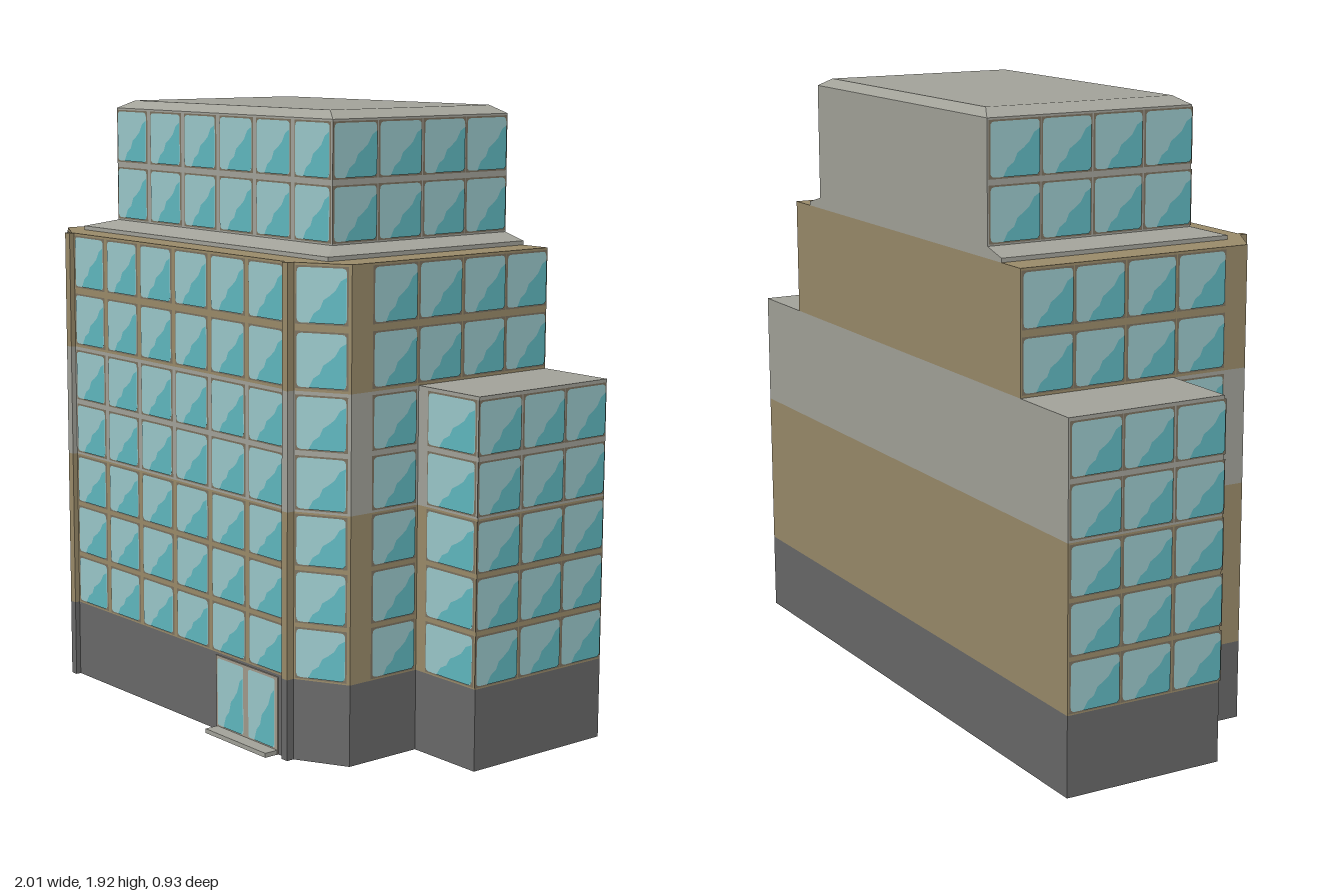
import * as THREE from 'three';
import { mergeGeometries } from 'three/addons/utils/BufferGeometryUtils.js';

const mat = (name, color) => {
  const m = new THREE.MeshStandardMaterial({ color });
  m.name = name;
  return m;
};

export function createModel() {
  const tan = mat('tan stone', 0x9a8b6a);
  const grey = mat('grey concrete', 0xa3a39a);
  const dark = mat('dark plinth', 0x696969);
  const glass = mat('pale glass', 0x9ac8cb);
  const teal = mat('teal reflection', 0x60b8c0);
  const trim = mat('window trim', 0x7c7260);
  const doorTrim = mat('door frame', 0xa29a8c);

  const building = new THREE.Group();
  building.name = 'building';
  const add = (geometry, material, name) => {
    const mesh = new THREE.Mesh(geometry, material);
    mesh.name = name;
    building.add(mesh);
  };

  const BACK = -0.465, FRONT = 0.415;

  // Prism standing on a plan outline given as [x, z] points
  const slab = (plan, y0, y1, material, name) => {
    const shape = new THREE.Shape(plan.map(([x, z]) => new THREE.Vector2(x, -z)));
    const g = new THREE.ExtrudeGeometry(shape, { depth: y1 - y0, bevelEnabled: false });
    add(g.rotateX(-Math.PI / 2).translate(0, y0, 0), material, name);
  };
  const box = (x0, x1, y0, y1, z0, z1, material, name) => add(
    new THREE.BoxGeometry(x1 - x0, y1 - y0, z1 - z0)
      .translate((x0 + x1) / 2, (y0 + y1) / 2, (z0 + z1) / 2), material, name);

  // Box whose top is drawn in to a smaller rectangle
  const taper = (bottom, top, y0, y1, material, name) => {
    const g = new THREE.BoxGeometry(1, 1, 1).toNonIndexed();
    const p = g.attributes.position;
    for (let i = 0; i < p.count; i++) {
      const up = p.getY(i) > 0, r = up ? top : bottom;
      p.setXYZ(i, p.getX(i) > 0 ? r.x : -r.x, up ? y1 : y0, p.getZ(i) > 0 ? r.front : r.back);
    }
    g.computeVertexNormals();
    add(g, material, name);
  };

  // Chamfered main block with side wings, in coloured bands
  const main = [[-0.74, BACK], [-0.74, 0.32], [-0.57, FRONT], [0.57, FRONT], [0.74, 0.32], [0.74, BACK]];
  const winged = [[-1, BACK], [-1, 0.06], [-0.74, 0.06], ...main.slice(1, 5), [0.74, 0.06], [1, 0.06], [1, BACK]];
  const bands = [
    [winged, 0, 0.25, dark, 'plinth'],
    [winged, 0.25, 0.76, tan, 'lowerFloors'],
    [winged, 0.76, 1.12, grey, 'middleFloors'],
    [main, 1.12, 1.495, tan, 'upperFloors'],
  ];
  for (const [plan, y0, y1, material, name] of bands) {
    slab(plan, y0, y1, material, name);
    // Slim fins at the front corners
    for (const s of [-1, 1])
      box(s * 0.571 - 0.013, s * 0.571 + 0.013, y0, y1, 0.39, 0.432, material, name + 'Fin');
  }

  // Setback ledge, penthouse and bevelled roof
  box(-0.635, 0.635, 1.495, 1.508, BACK, 0.322, grey, 'ledge');
  taper({ x: 0.635, front: 0.322, back: BACK }, { x: 0.555, front: 0.24, back: BACK }, 1.508, 1.53, grey, 'ledgeSlope');
  box(-0.555, 0.555, 1.53, 1.898, BACK, 0.24, grey, 'penthouse');
  taper({ x: 0.555, front: 0.24, back: BACK }, { x: 0.5, front: 0.205, back: -0.438 }, 1.898, 1.923, grey, 'roof');

  // Rounded pane outline
  const pane = (w, h, r) => {
    const s = new THREE.Shape(), x = w / 2, y = h / 2;
    s.moveTo(r - x, -y).lineTo(x - r, -y).quadraticCurveTo(x, -y, x, r - y)
      .lineTo(x, y - r).quadraticCurveTo(x, y, x - r, y)
      .lineTo(r - x, y).quadraticCurveTo(-x, y, -x, y - r)
      .lineTo(-x, r - y).quadraticCurveTo(-x, -y, r - x, -y);
    return new THREE.ShapeGeometry(s, 3);
  };
  // Wavy diagonal reflection filling the lower right of a pane
  const wave = [[0.25, 0], [0.95, 0], [1, 0.06], [1, 0.84], [0.88, 0.77], [0.78, 0.6],
    [0.66, 0.5], [0.54, 0.42], [0.47, 0.26], [0.34, 0.17]];
  const reflection = (w, h) => new THREE.ShapeGeometry(
    new THREE.Shape(wave.map(([u, v]) => new THREE.Vector2((u - 0.5) * w, (v - 0.5) * h))));

  const parts = { trim: [], glass: [], teal: [] };
  const addWindow = (x, z, angle, w, y0, y1) => {
    const h = y1 - y0;
    const place = (g, out) => g.translate(0, 0, out).rotateY(angle).translate(x, (y0 + y1) / 2, z);
    parts.trim.push(place(new THREE.PlaneGeometry(w + 0.01, h + 0.01), 0.002));
    parts.glass.push(place(pane(w, h, 0.014), 0.004));
    parts.teal.push(place(reflection(w, h), 0.006));
  };

  // Window rows: five wing floors, two upper floors, two penthouse floors
  const rows = [[0.26, 0.407], [0.43, 0.58], [0.603, 0.75], [0.772, 0.925], [0.95, 1.105],
    [1.133, 1.292], [1.322, 1.483], [1.54, 1.7], [1.727, 1.887]];
  const frontColumns = [-0.465, -0.279, -0.093, 0.093, 0.279, 0.465];
  const sideColumns = [0.155, -0.022, -0.2, -0.375];
  const chamfer = Math.atan2(0.095, 0.17);
  rows.forEach(([y0, y1], floor) => {
    const top = floor > 6, wing = floor < 5;
    for (const x of frontColumns) addWindow(x, top ? 0.24 : FRONT, 0, 0.16, y0, y1);
    for (const s of [-1, 1]) {
      sideColumns.forEach((z, i) => {
        const x = top ? 0.555 : wing && i > 0 ? 1 : 0.74;
        addWindow(s * x, z, s * Math.PI / 2, 0.163, y0, y1);
      });
      if (!top) addWindow(s * 0.66, 0.365, s * chamfer, 0.155, y0, y1);
      if (wing) addWindow(s * 0.888, 0.06, 0, 0.2, y0, y1);
    }
  });
  add(mergeGeometries(parts.trim), trim, 'windowTrim');
  add(mergeGeometries(parts.glass), glass, 'windowGlass');
  add(mergeGeometries(parts.teal), teal, 'windowReflections');

  // Double entrance door with its step
  box(0.215, 0.522, 0, 0.242, FRONT - 0.01, FRONT + 0.004, doorTrim, 'doorFrame');
  for (const x of [0.29, 0.445]) {
    const leaf = (g, out) => g.translate(x, 0.127, FRONT + out);
    add(leaf(pane(0.13, 0.215, 0.008), 0.006), glass, 'doorGlass');
    add(leaf(reflection(0.13, 0.215), 0.008), teal, 'doorReflection');
  }
  box(0.22, 0.52, 0, 0.014, FRONT - 0.01, 0.465, grey, 'doorStep');

  return building;
}
